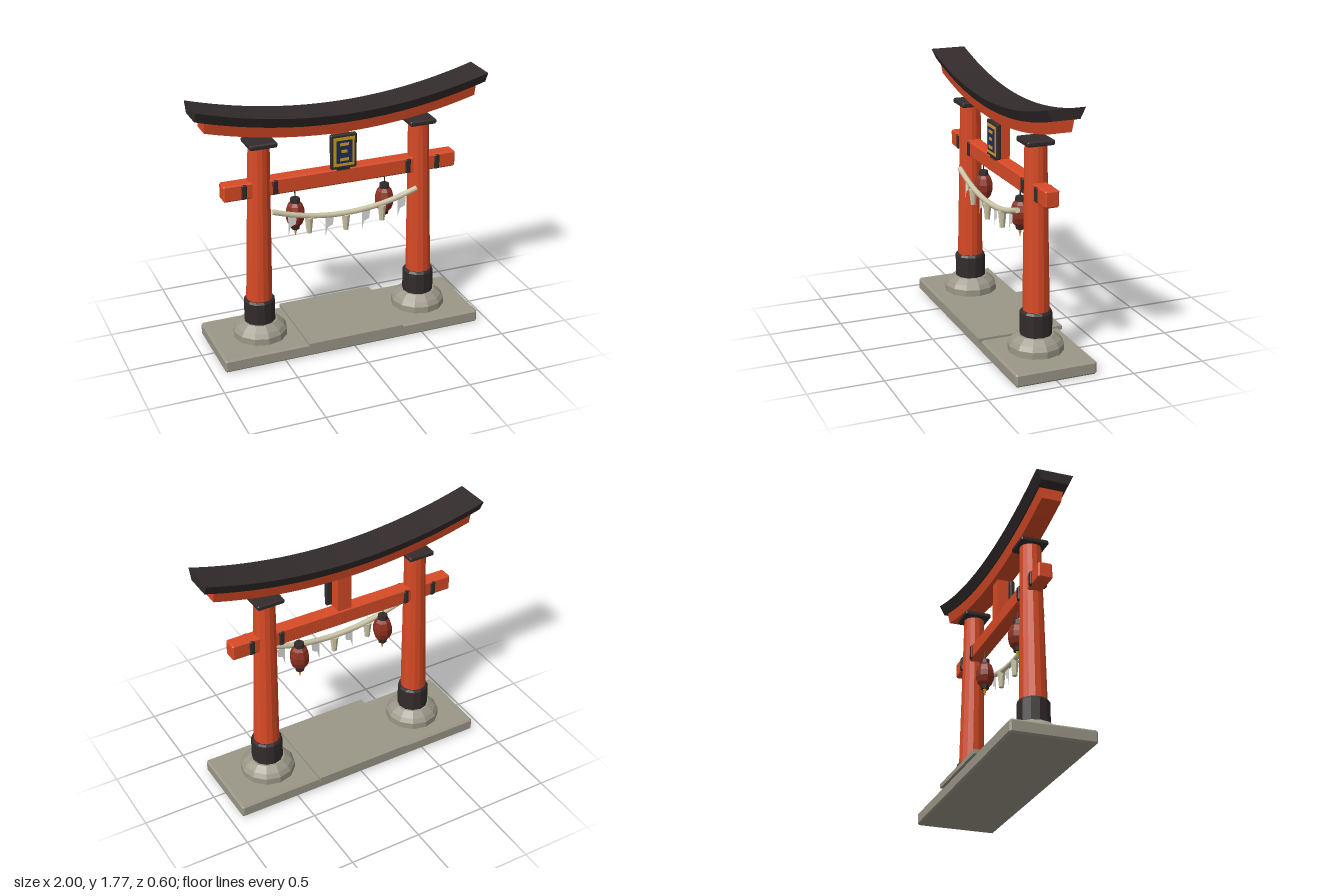
import * as THREE from 'three';
import { ConvexGeometry } from 'three/addons/geometries/ConvexGeometry.js';

const paint = (name, color) => {
  const m = new THREE.MeshStandardMaterial({ color });
  m.name = name;
  return m;
};

// Faceted normals for low-poly parts
function flat(geometry) {
  const g = geometry.index ? geometry.toNonIndexed() : geometry;
  g.computeVertexNormals();
  return g;
}

// Box with every edge chamfered by c
function chamferBox(w, h, d, c) {
  const points = [];
  for (const sx of [-1, 1]) for (const sy of [-1, 1]) for (const sz of [-1, 1]) {
    for (let k = 0; k < 3; k++) {
      const inset = [0, 1, 2].map((i) => (i === k ? 0 : c));
      points.push(new THREE.Vector3(
        sx * (w / 2 - inset[0]), sy * (h / 2 - inset[1]), sz * (d / 2 - inset[2])));
    }
  }
  return new ConvexGeometry(points);
}

// Upswept beam: trapezoid section, bent along a parabola
function sweptBeam(length, y0, y1, bottomHalf, topHalf) {
  const g = new THREE.BoxGeometry(length, 1, 2, 32, 1, 1);
  const p = g.attributes.position;
  for (let i = 0; i < p.count; i++) {
    const x = p.getX(i), t = p.getY(i) + 0.5;
    p.setY(i, y0 + (y1 - y0) * t + 0.145 * x * x);
    p.setZ(i, p.getZ(i) * (bottomHalf + (topHalf - bottomHalf) * t));
  }
  g.computeVertexNormals();
  return g;
}

const lathe = (profile, sides) =>
  flat(new THREE.LatheGeometry(profile.map(([r, y]) => new THREE.Vector2(r, y)), sides));

export function createModel() {
  const model = new THREE.Group();
  model.name = 'gate';
  const vermilion = paint('vermilion', 0xd84a25);
  const black = paint('black lacquer', 0x332b2c);
  const stone = paint('stone', 0x9b9687);
  const cream = paint('straw', 0xcfc7a8);
  const white = paint('paper', 0xdededc);
  white.side = THREE.DoubleSide;
  const gold = paint('gold', 0xcc9c24);
  const navy = paint('navy', 0x1f2a58);
  const red = paint('lantern red', 0x8c2f20);

  const add = (name, geometry, material, x = 0, y = 0, z = 0, parent = model) => {
    const mesh = new THREE.Mesh(geometry, material);
    mesh.name = name;
    mesh.position.set(x, y, z);
    parent.add(mesh);
    return mesh;
  };

  // Stone platform
  add('platform', chamferBox(1.84, 0.09, 0.56, 0.012), stone, 0, 0.045);
  add('pathSlab', new THREE.BoxGeometry(0.68, 0.03, 0.6), stone, 0, 0.09);

  // Pillars with footings, sleeves, caps and wedges
  const footing = lathe([[0, 0.085], [0.185, 0.085], [0.185, 0.135], [0.165, 0.165], [0.12, 0.2], [0, 0.2]], 12);
  const sleeve = lathe([[0, 0.19], [0.106, 0.19], [0.106, 0.35], [0.096, 0.365], [0, 0.365]], 12);
  const shaft = flat(new THREE.CylinderGeometry(0.071, 0.088, 1.12, 14));
  const cap = chamferBox(0.187, 0.035, 0.187, 0.008);
  for (const s of [-1, 1]) {
    const side = new THREE.Group();
    side.name = s > 0 ? 'leftPillar' : 'rightPillar';
    model.add(side);
    add('footing', footing, stone, s * 0.585, 0, 0, side);
    add('sleeve', sleeve, black, s * 0.585, 0, 0, side);
    add('shaft', shaft, vermilion, s * 0.573, 0.91, 0, side).rotation.z = s * 0.0225;
    add('cap', cap, black, s * 0.557, 1.475, 0, side);
    for (const x of [0.47, 0.682]) {
      add('wedge', chamferBox(0.036, 0.1, 0.114, 0.006), black, s * x, 1.165, 0, side);
    }
  }

  // Beams
  add('tieBeam', chamferBox(1.64, 0.112, 0.096, 0.01), vermilion, 0, 1.166);
  add('lintel', sweptBeam(1.87, 1.485, 1.565, 0.066, 0.082), vermilion);
  add('roofBeam', sweptBeam(2, 1.56, 1.63, 0.09, 0.125), black);
  add('centerStrut', new THREE.BoxGeometry(0.1, 0.3, 0.08), vermilion, 0, 1.36);

  // Plaque with plain decorative bars
  const plaque = new THREE.Group();
  plaque.name = 'plaque';
  model.add(plaque);
  add('plaqueBracket', new THREE.BoxGeometry(0.09, 0.03, 0.03), black, 0, 1.232, 0.047, plaque);
  add('plaqueFrame', chamferBox(0.182, 0.24, 0.03, 0.006), black, 0, 1.35, 0.053, plaque);
  add('goldBorder', new THREE.BoxGeometry(0.146, 0.2, 0.006), gold, 0, 1.35, 0.068, plaque);
  add('plaqueField', new THREE.BoxGeometry(0.112, 0.158, 0.006), navy, 0, 1.35, 0.071, plaque);
  for (const [y, w] of [[1.403, 0.064], [1.354, 0.043], [1.298, 0.064]]) {
    add('goldBar', new THREE.BoxGeometry(w, 0.02, 0.006), gold, 0, y, 0.074, plaque);
  }

  // Hanging lanterns
  const body = lathe([[0.03, 0.845], [0.052, 0.87], [0.066, 0.91], [0.066, 0.95], [0.052, 0.995], [0.03, 1.02]], 8);
  for (const s of [-1, 1]) {
    const lantern = new THREE.Group();
    lantern.name = s > 0 ? 'leftLantern' : 'rightLantern';
    lantern.position.x = s * 0.32;
    model.add(lantern);
    add('lanternBody', body, red, 0, 0, 0, lantern);
    add('lanternTop', flat(new THREE.CylinderGeometry(0.033, 0.036, 0.03, 8)), black, 0, 1.03, 0, lantern);
    add('lanternBottom', flat(new THREE.CylinderGeometry(0.034, 0.028, 0.028, 8)), black, 0, 0.838, 0, lantern);
    add('lanternCord', new THREE.CylinderGeometry(0.004, 0.004, 0.09, 6), black, 0, 1.08, 0, lantern);
    add('lanternTassel', flat(new THREE.CylinderGeometry(0.014, 0.002, 0.055, 6)), gold, 0, 0.802, 0, lantern);
  }

  // Straw rope sagging in front of the pillars
  const ropeY = (x) => 0.925 + 0.36 * x * x;
  const ropeZ = 0.1;
  const path = new THREE.CatmullRomCurve3(
    Array.from({ length: 9 }, (_, i) => -0.51 + i * 0.1275)
      .map((x) => new THREE.Vector3(x, ropeY(x), ropeZ)));
  add('rope', new THREE.TubeGeometry(path, 24, 0.019, 8), cream);
  for (const s of [-1, 1]) {
    const end = add('ropeEnd', new THREE.CircleGeometry(0.019, 8), cream, s * 0.51, ropeY(0.51), ropeZ);
    end.rotation.set(0, s * Math.PI / 2, s * 0.35, 'ZYX');
  }

  // Straw tassels
  for (const x of [-0.26, 0, 0.26]) {
    add('strawTassel', flat(new THREE.CylinderGeometry(0.03, 0.018, 0.11, 8)), cream, x, ropeY(x) - 0.065, ropeZ);
  }

  // Folded paper streamers
  const streamer = new THREE.ShapeGeometry(new THREE.Shape(
    [[-0.015, 0], [0.045, 0], [0.038, -0.06], [0.002, -0.075], [-0.015, -0.135]]
      .map(([x, y]) => new THREE.Vector2(x, y))));
  for (const x of [-0.39, -0.13, 0.13, 0.39]) {
    add('paperStreamer', streamer, white, x, ropeY(x) - 0.015, ropeZ);
  }
  return model;
}
